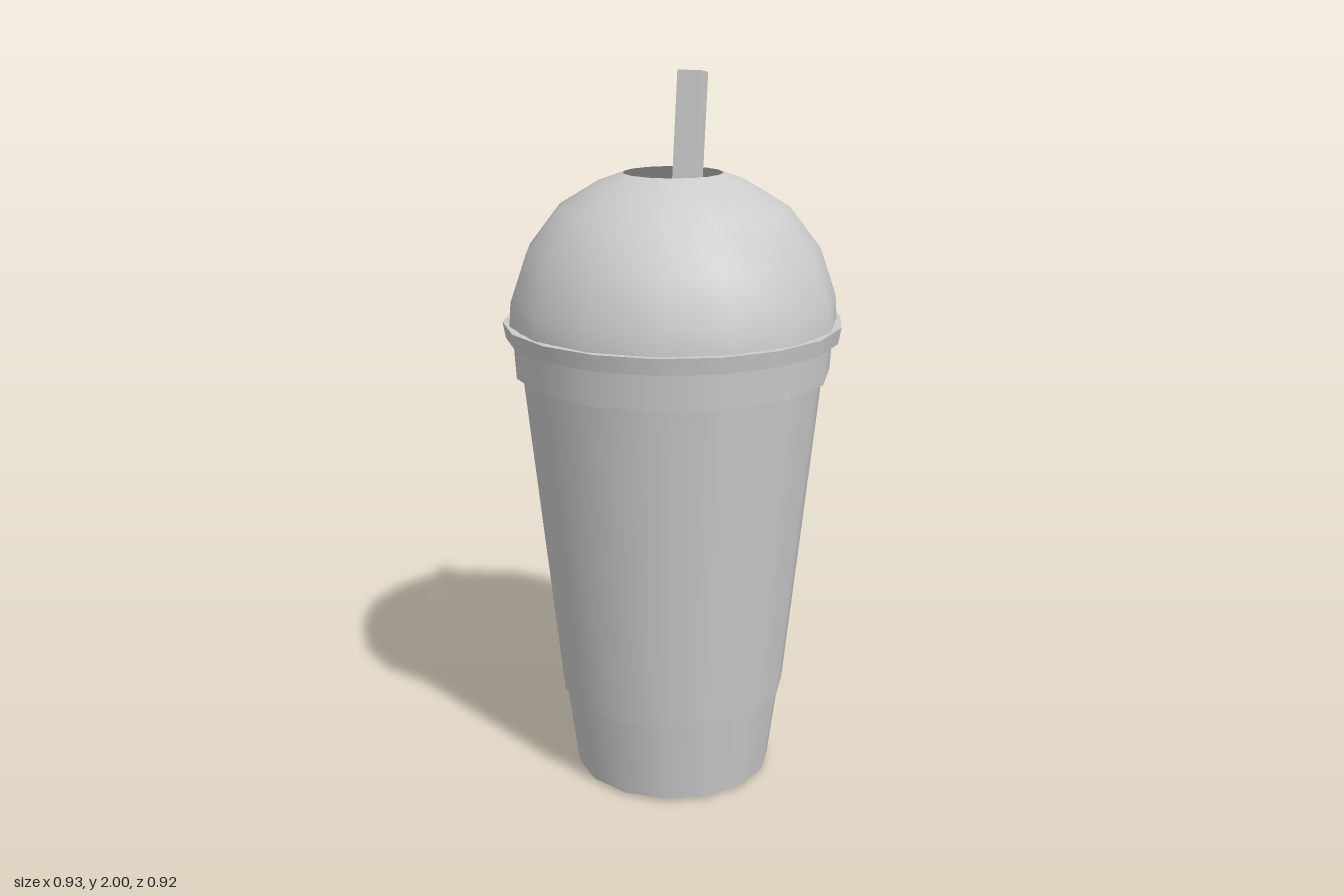
import * as THREE from 'three';

const material = new THREE.MeshStandardMaterial({ color: 0xcccccc, side: THREE.DoubleSide });
const strawMaterial = new THREE.MeshStandardMaterial({ color: 0xcccccc, side: THREE.DoubleSide, flatShading: true });

// Revolved surface from [radius, height] pairs, listed bottom to top.
function ring(name, profile, sides = 15) {
  const points = profile.map(([r, y]) => new THREE.Vector2(r, y));
  const mesh = new THREE.Mesh(new THREE.LatheGeometry(points, sides, Math.PI / 2), material);
  mesh.name = name;
  return mesh;
}

export function createModel() {
  const group = new THREE.Group();
  group.name = 'lidded cup';

  // Cup: flat base, narrow foot and tapering wall
  group.add(
    ring('cupBase', [[0, 0.01], [0.283, 0.01]]),
    ring('cupFoot', [[0.283, 0.01], [0.314, 0.25]]),
    ring('cupStep', [[0.314, 0.25], [0.321, 0.25]]),
    ring('cupWall', [[0.321, 0.25], [0.418, 1.19]]),
  );

  // Drink surface inside the cup
  group.add(ring('drinkSurface', [[0.4, 1.1], [0, 1.1]]));

  // Lid collar and overhanging rim
  group.add(
    ring('collarUnderside', [[0.418, 1.19], [0.436, 1.19]]),
    ring('collar', [[0.436, 1.19], [0.442, 1.29]]),
    ring('rimUnderside', [[0.442, 1.29], [0.459, 1.29]], 18),
    ring('rim', [[0.459, 1.29], [0.467, 1.335]], 18),
    ring('rimTop', [[0.467, 1.335], [0.445, 1.335]], 18),
  );

  // Dome lid with an open hole at the top
  group.add(ring('domeLid', [
    [0.452, 1.33], [0.447, 1.4], [0.402, 1.53], [0.315, 1.643], [0.205, 1.71], [0.136, 1.735],
  ]));

  // Square straw leaning from the base of the cup out through the hole
  const bottom = new THREE.Vector3(-0.11, 0.005, 0.13);
  const top = new THREE.Vector3(0.08, 1.995, -0.045);
  const direction = top.clone().sub(bottom);
  const straw = new THREE.Mesh(
    new THREE.CylinderGeometry(0.046, 0.046, direction.length(), 4, 1, true), strawMaterial);
  straw.name = 'straw';
  straw.position.copy(bottom).add(top).multiplyScalar(0.5);
  straw.quaternion.setFromUnitVectors(new THREE.Vector3(0, 1, 0), direction.normalize());
  group.add(straw);

  return group;
}
